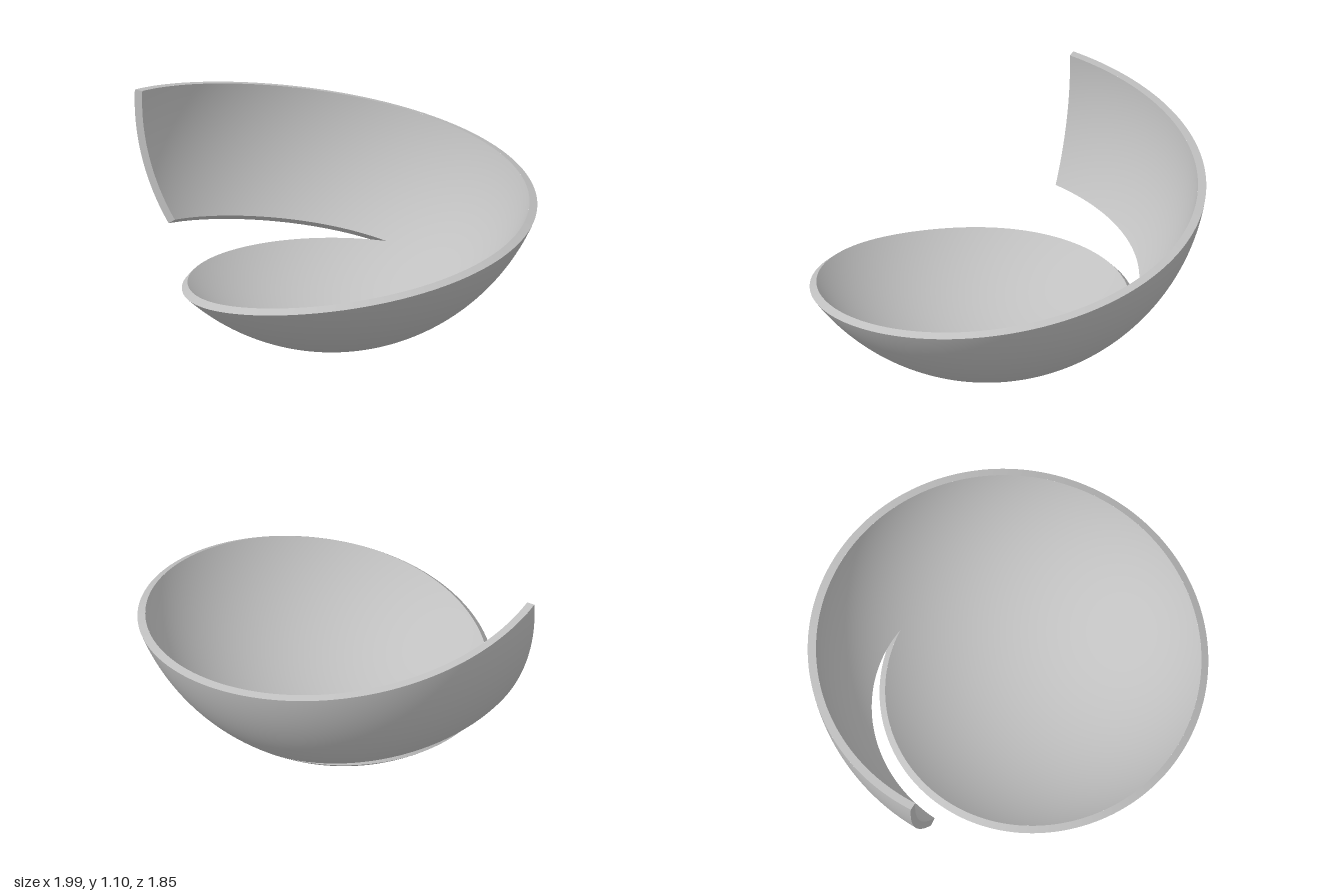
import * as THREE from 'three';

const RAD = Math.PI / 180;
const OUTER = 1.054, INNER = 1.014;
const CENTRE = [0.04, OUTER, 0.11];
const START = -5, FULL = START + 360, END = 440; // sweep of the spiral, in degrees

// Polar angle of the rim: level at first, then climbing steadily
const rim = a => 42 + 2.2 * Math.log(1 + Math.exp((20.88 + 0.163 * a - 42) / 2.2));
// Lower edge of the free ribbon after one full turn
const slit = a => {
  const t = (a - FULL) / (END - FULL);
  return rim(START) + t * (55.8 - rim(START));
};

// Point on a sphere: azimuth from the back, polar angle from the bottom
const point = (a, p, r) => [
  -r * Math.sin(p * RAD) * Math.sin(a * RAD),
  -r * Math.cos(p * RAD),
  -r * Math.sin(p * RAD) * Math.cos(a * RAD),
];

// Grid surface from f(u, v); round = 1 or -1 gives exact sphere normals
function surface(f, nu, nv, round = 0) {
  const pos = [], index = [], normals = [];
  for (let i = 0; i <= nu; i++) {
    for (let j = 0; j <= nv; j++) {
      const p = f(i / nu, j / nv);
      const l = Math.hypot(...p);
      pos.push(...p);
      normals.push(...p.map(c => round * c / l));
      if (i < nu && j < nv) {
        const a = i * (nv + 1) + j, b = a + nv + 1;
        index.push(a, b, b + 1, a, b + 1, a + 1);
      }
    }
  }
  const g = new THREE.BufferGeometry();
  g.setAttribute('position', new THREE.Float32BufferAttribute(pos, 3));
  g.setIndex(index);
  if (round) g.setAttribute('normal', new THREE.Float32BufferAttribute(normals, 3));
  else g.computeVertexNormals();
  return g;
}

export function createModel() {
  const group = new THREE.Group();
  group.name = 'spiralBowl';
  const grey = new THREE.MeshStandardMaterial({ color: 0xc0c0c0 });
  grey.name = 'grey';
  const add = (name, geometry) => {
    const mesh = new THREE.Mesh(geometry, grey);
    mesh.name = name;
    mesh.position.set(...CENTRE);
    group.add(mesh);
  };
  const mix = THREE.MathUtils.lerp;

  // Walls: the full bowl, then the ribbon that overlaps its start
  const walls = [
    ['bowl', START, FULL, () => 0, 180, 64],
    ['ribbon', FULL, END, slit, 48, 32],
  ];
  for (const [name, a0, a1, low, nu, nv] of walls) {
    const wall = (r, flip) => (u, v) => {
      const a = mix(a0, a1, u);
      return point(a, mix(low(a), rim(a), flip ? 1 - v : v), r);
    };
    add(name + 'Outside', surface(wall(OUTER, false), nu, nv, 1));
    add(name + 'Inside', surface(wall(INNER, true), nu, nv, -1));
  }

  // Rim all along the top edge
  add('rim', surface((u, v) => {
    const a = mix(START, END, u);
    return point(a, rim(a), mix(OUTER, INNER, v));
  }, 240, 1));

  // Underside of the ribbon
  add('ribbonLowerEdge', surface((u, v) => {
    const a = mix(FULL, END, u);
    return point(a, slit(a), mix(INNER, OUTER, v));
  }, 48, 1));

  // Cut end of the ribbon
  add('ribbonEnd', surface((u, v) =>
    point(END, mix(slit(END), rim(END), u), mix(INNER, OUTER, v)), 32, 1));

  return group;
}
